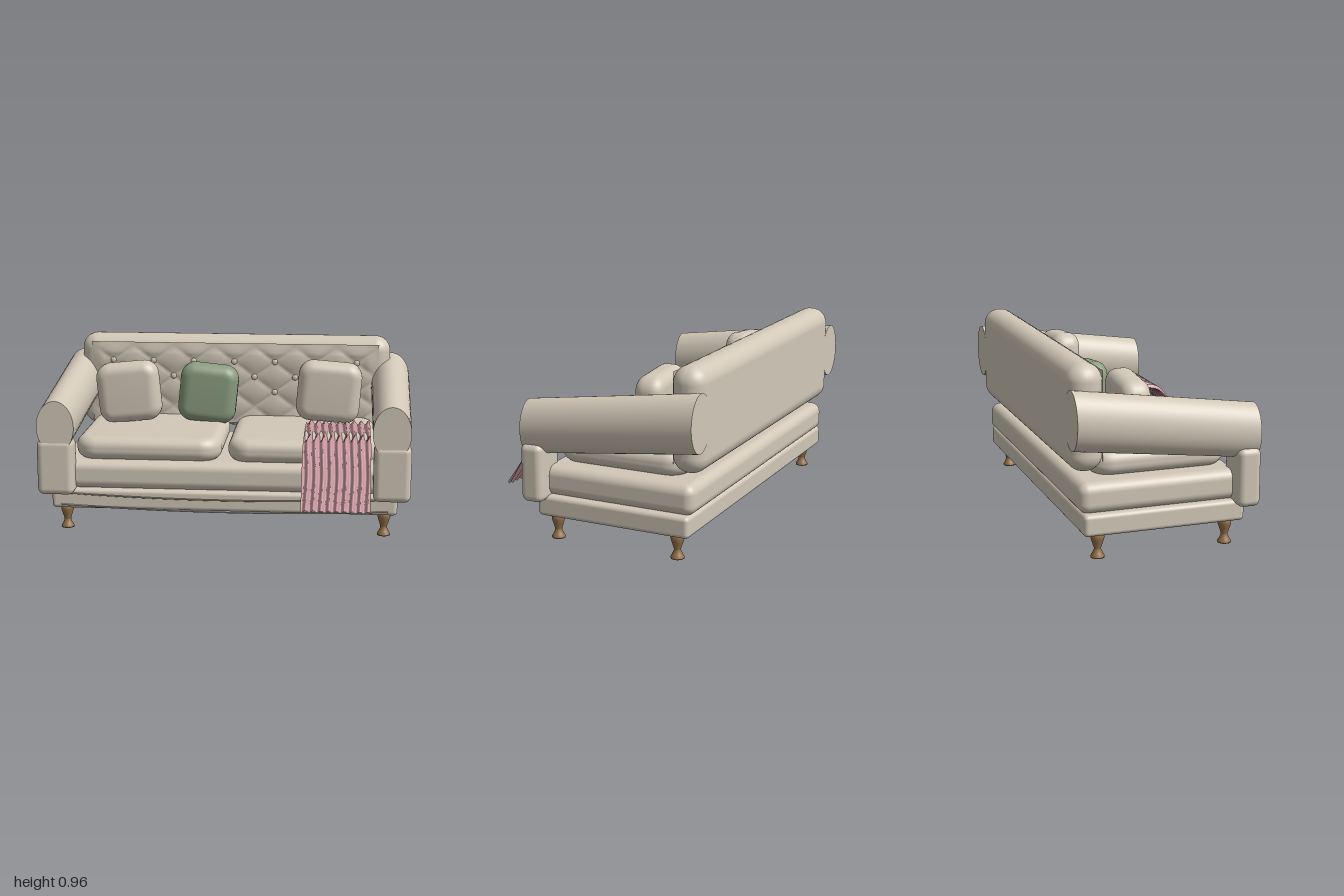
import * as THREE from 'three';
import { mergeVertices, toCreasedNormals } from 'three/addons/utils/BufferGeometryUtils.js';
import { RoundedBoxGeometry } from 'three/addons/geometries/RoundedBoxGeometry.js';

const material = (name, color, side = THREE.FrontSide) => {
  const m = new THREE.MeshStandardMaterial({ color, side });
  m.name = name;
  return m;
};
const lerp = THREE.MathUtils.lerp;

// Moves every vertex of a geometry by a rule
function reshape(geometry, rule) {
  const p = geometry.attributes.position, v = new THREE.Vector3();
  for (let i = 0; i < p.count; i++) {
    rule(v.fromBufferAttribute(p, i));
    p.setXYZ(i, v.x, v.y, v.z);
  }
  geometry.computeVertexNormals();
  return geometry;
}

// Soft slab: rounded rectangle w by h in outline, depth d, with rounded rims
function softSlab(w, h, d, corner, bevel) {
  const x = w / 2 - bevel, y = h / 2 - bevel, r = corner;
  const s = new THREE.Shape();
  s.moveTo(-x + r, -y);
  s.lineTo(x - r, -y).absarc(x - r, -y + r, r, -Math.PI / 2, 0);
  s.lineTo(x, y - r).absarc(x - r, y - r, r, 0, Math.PI / 2);
  s.lineTo(-x + r, y).absarc(-x + r, y - r, r, Math.PI / 2, Math.PI);
  s.lineTo(-x, -y + r).absarc(-x + r, -y + r, r, Math.PI, Math.PI * 1.5);
  const depth = d - 2 * bevel;
  const g = new THREE.ExtrudeGeometry(s, {
    depth, bevelEnabled: true, bevelSize: bevel, bevelThickness: bevel, bevelSegments: 8, curveSegments: 8,
  });
  g.translate(0, 0, -depth / 2);
  g.deleteAttribute('uv');
  g.deleteAttribute('normal');
  return toCreasedNormals(mergeVertices(g, 1e-5), 0.7);
}

export function createModel() {
  const group = new THREE.Group();
  group.name = 'sofa';
  const fabric = material('cream fabric', 0xd2c8b8);
  const tufted = material('tufted cream fabric', 0xcbc1b1, THREE.DoubleSide);
  const green = material('green fabric', 0x8b9d80);
  const pink = material('pink knit', 0xc8979d, THREE.DoubleSide);
  const wood = material('turned wood', 0x94714a);

  const add = (name, geometry, mat, x = 0, y = 0, z = 0) => {
    const m = new THREE.Mesh(geometry, mat);
    m.name = name;
    m.position.set(x, y, z);
    group.add(m);
    return m;
  };
  // Rounded box given by its limits
  const block = (name, x0, x1, y0, y1, z0, z1, r) =>
    add(name, new RoundedBoxGeometry(x1 - x0, y1 - y0, z1 - z0, 6, r), fabric,
      (x0 + x1) / 2, (y0 + y1) / 2, (z0 + z1) / 2);

  // Frame
  block('baseRail', -0.92, 0.92, 0.125, 0.235, -0.525, 0.31, 0.022);
  block('seatDeck', -0.9, 0.9, 0.23, 0.385, -0.54, 0.3, 0.05);
  block('backrest', -0.885, 0.885, 0.43, 0.96, -0.58, -0.4, 0.085);

  // Sagging piping along the front of the base
  for (const y of [0.213, 0.148]) {
    const curve = new THREE.QuadraticBezierCurve3(
      new THREE.Vector3(-0.87, y, 0.312),
      new THREE.Vector3(0, y - 0.036, 0.356),
      new THREE.Vector3(0.87, y, 0.312));
    add('frontPiping', new THREE.TubeGeometry(curve, 40, 0.004, 6), fabric);
  }

  // Diamond tufted panel on the backrest
  const diamond = (x, y) => {
    const a = x / 0.232, b = (y - 0.815) / 0.174;
    return Math.sqrt(Math.abs(Math.sin(Math.PI * (a + b)) * Math.sin(Math.PI * (a - b))));
  };
  const panel = new THREE.PlaneGeometry(1.64, 0.46, 160, 60);
  add('tuftedPanel', reshape(panel, (v) => {
    v.y += 0.69;
    const edge = Math.min(1, (0.82 - Math.abs(v.x)) / 0.06, (0.92 - v.y) / 0.06);
    v.z = -0.398 + Math.max(0, edge) * (0.004 + 0.013 * diamond(v.x, v.y));
  }), tufted);

  // Tuft buttons, three staggered rows
  for (let row = 0; row < 3; row++) {
    for (let i = -3; i <= 3; i++) {
      const x = (i + (row % 2) / 2) * 0.232;
      if (Math.abs(x) > 0.75) continue;
      const button = add('tuftButton', new THREE.SphereGeometry(0.017, 14, 10), fabric, x, 0.815 - row * 0.087, -0.392);
      button.scale.z = 0.5;
    }
  }

  for (const s of [-1, 1]) {
    // Sloping rolled arm, oval in section and wider at the back
    const roll = new THREE.CylinderGeometry(1, 1, 1, 48, 1).rotateX(Math.PI / 2);
    reshape(roll, (v) => {
      const t = v.z + 0.5;
      v.x = v.x * lerp(0.11, 0.1, t) + s * lerp(0.89, 0.882, t);
      v.y = v.y * lerp(0.147, 0.14, t) + lerp(0.703, 0.579, t);
      v.z = lerp(-0.58, 0.365, t);
    });
    add(s > 0 ? 'leftArm' : 'rightArm', toCreasedNormals(roll, 0.6), fabric);

    // Padded block below the front of the arm
    const x = s * 0.888;
    block('armFront', x - 0.098, x + 0.098, 0.21, 0.51, 0.25, 0.37, 0.034);

    // Seat cushion
    const cushion = add('seatCushion', softSlab(0.785, 0.715, 0.125, 0.06, 0.055), fabric, s * 0.41, 0.442, -0.085);
    cushion.rotation.x = -Math.PI / 2;

    // Turned legs
    const profile = [[0, 0], [0.034, 0], [0.035, 0.008], [0.026, 0.022], [0.018, 0.04], [0.018, 0.05],
      [0.026, 0.075], [0.034, 0.1], [0.034, 0.115], [0.028, 0.128]].map((p) => new THREE.Vector2(...p));
    for (const z of [0.23, -0.44]) add('leg', new THREE.LatheGeometry(profile, 24), wood, s * 0.853, 0, z);
  }

  // Throw pillows: x, y, z, width, height, tilt
  const pillows = [
    ['rightPillow', fabric, -0.573, 0.672, -0.19, 0.35, 0.335, 0.1],
    ['greenPillow', green, -0.133, 0.66, -0.255, 0.325, 0.33, -0.1],
    ['leftPillow', fabric, 0.545, 0.688, -0.202, 0.35, 0.335, -0.08],
  ];
  for (const [name, mat, x, y, z, w, h, tilt] of pillows) {
    const pillow = add(name, softSlab(w, h, 0.152, 0.02, 0.06), mat, x, y, z);
    pillow.rotation.z = tilt;
  }

  // Ribbed blanket lying on the seat and hanging over the front
  const path = new THREE.CatmullRomCurve3([
    [0.522, -0.17], [0.516, -0.02], [0.505, 0.08], [0.513, 0.2], [0.518, 0.31],
    [0.497, 0.365], [0.36, 0.468], [0.215, 0.575],
  ].map(([y, z]) => new THREE.Vector3(0, y, z)));
  const blanket = new THREE.PlaneGeometry(0.355, 1, 108, 32);
  add('blanket', reshape(blanket, (v) => {
    const t = 0.5 - v.y, p = path.getPointAt(t), d = path.getTangentAt(t);
    const wave = 0.011 * Math.sin((v.x / 0.355) * 9 * Math.PI * 2 + 0.6 * Math.sin(t * 14));
    v.set(v.x + 0.598, p.y + d.z * wave, p.z - d.y * wave);
  }), pink);

  return group;
}
